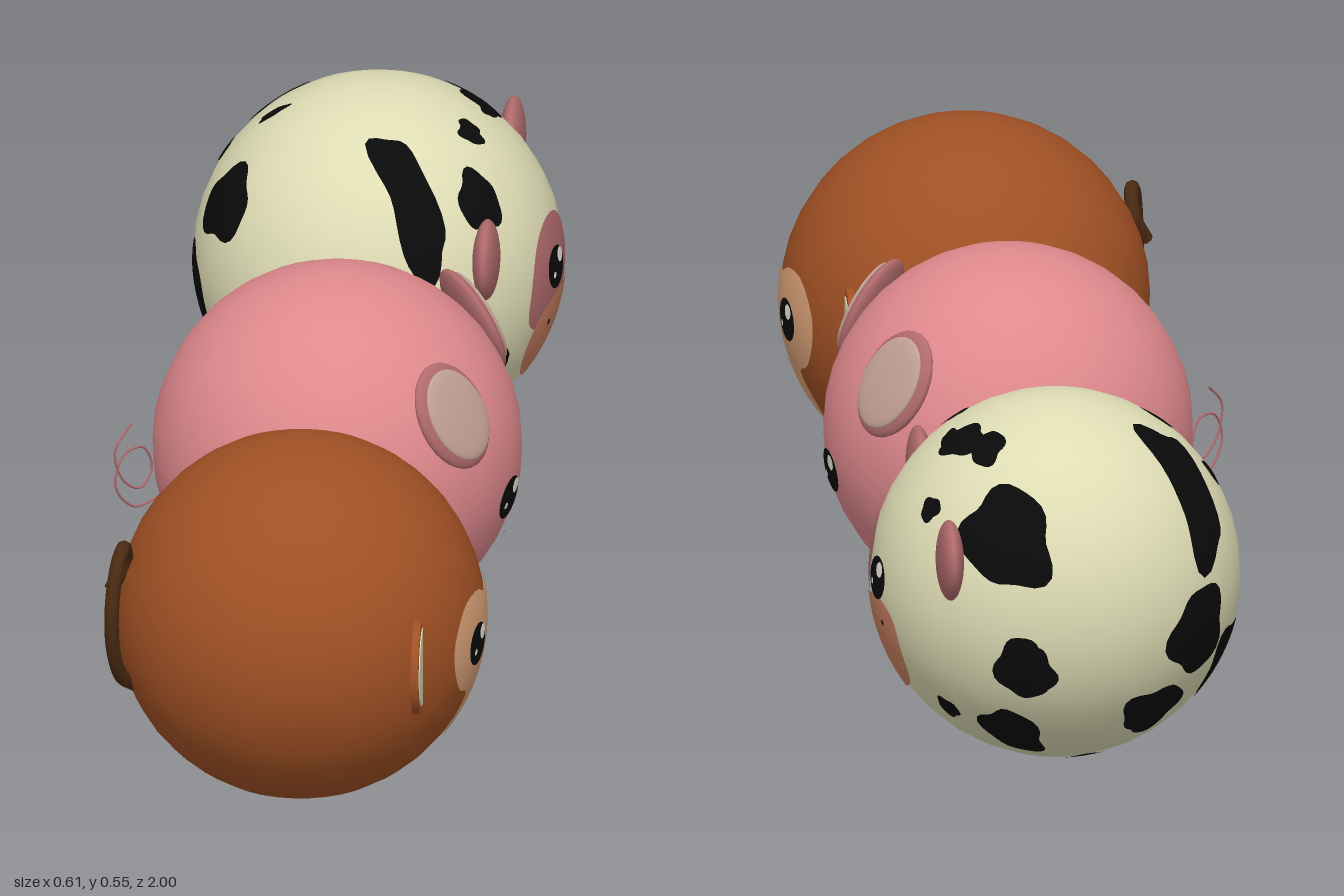
import * as THREE from 'three';

const R = 0.275;
const PX = 1 / 51.3; // face drawings use a grid of about 51 steps per ball radius

const colours = {
  brown: 0xa05024, darkBrown: 0x4a2a12, tan: 0xd8a076, cream: 0xdedcb4, black: 0x0a0a0a,
  pink: 0xdf898d, earPink: 0xc4a296, rose: 0xb06a6c, salmon: 0xcc8062, white: 0xf0f0e4,
};
const mat = {};

// Tangent frame on a ball, from an azimuth and an elevation in degrees
function frame(az, el) {
  const a = THREE.MathUtils.degToRad(az), e = THREE.MathUtils.degToRad(el);
  const dir = new THREE.Vector3(Math.sin(a) * Math.cos(e), Math.sin(e), Math.cos(a) * Math.cos(e));
  const right = new THREE.Vector3(Math.cos(a), 0, -Math.sin(a));
  return { dir, right, up: dir.clone().cross(right) };
}

function onBall(f, u, v) {
  const w = Math.sqrt(Math.max(0, 1 - u * u - v * v));
  return f.dir.clone().multiplyScalar(w).addScaledVector(f.right, u).addScaledVector(f.up, v).normalize();
}

// Thin painted patch: rings from a centre out to an outline, laid on the ball
function patch(parent, name, material, f, outline, cu, cv, lift) {
  const rings = 7, n = outline.length, pos = [], nor = [], idx = [];
  const add = (u, v) => {
    const d = onBall(f, u, v);
    nor.push(d.x, d.y, d.z);
    d.multiplyScalar(R + lift);
    pos.push(d.x, d.y, d.z);
  };
  add(cu, cv);
  for (let k = 1; k <= rings; k++) {
    for (const [u, v] of outline) add(cu + (u - cu) * k / rings, cv + (v - cv) * k / rings);
  }
  for (let i = 0; i < n; i++) {
    const j = (i + 1) % n;
    idx.push(0, 1 + i, 1 + j);
    for (let k = 0; k < rings - 1; k++) {
      const a = 1 + k * n + i, b = 1 + k * n + j;
      idx.push(a, a + n, b + n, a, b + n, b);
    }
  }
  const g = new THREE.BufferGeometry();
  g.setAttribute('position', new THREE.Float32BufferAttribute(pos, 3));
  g.setAttribute('normal', new THREE.Float32BufferAttribute(nor, 3));
  g.setIndex(idx);
  const m = new THREE.Mesh(g, material);
  m.name = name;
  parent.add(m);
}

const front = frame(90, 0);

// Smooth counter-clockwise face shape through a few grid points
function drawn(parent, name, material, pts, cx, cy, lift) {
  const curve = new THREE.CatmullRomCurve3(pts.map(([x, y]) => new THREE.Vector3(x * PX, y * PX, 0)), true);
  const outline = curve.getPoints(48).slice(0, -1).map(p => [p.x, p.y]);
  patch(parent, name, material, front, outline, cx * PX, cy * PX, lift);
}

function dot(parent, name, material, x, y, r, lift) {
  const outline = [];
  for (let i = 0; i < 20; i++) {
    const t = i / 20 * Math.PI * 2;
    outline.push([(x + r * Math.cos(t)) * PX, (y + r * Math.sin(t)) * PX]);
  }
  patch(parent, name, material, front, outline, x * PX, y * PX, lift);
}

function eye(parent, x, y) {
  dot(parent, 'eye', mat.black, x, y, 6, 0.005);
  dot(parent, 'eyeHighlight', mat.white, x + 2.3, y + 2.8, 2.1, 0.0065);
  dot(parent, 'eyeGlint', mat.white, x - 2.6, y - 1.5, 0.9, 0.0065);
}

// Irregular coat spot; pinch narrows its waist
function spot(parent, f, [u, v, rx, ry, pinch = 0], seed) {
  const dir = onBall(f, u, v);
  const right = f.right.clone().addScaledVector(dir, -f.right.dot(dir)).normalize();
  const local = { dir, right, up: dir.clone().cross(right) };
  const outline = [];
  for (let i = 0; i < 32; i++) {
    const t = i / 32 * Math.PI * 2, c = Math.cos(t);
    const k = 1 + 0.11 * Math.sin(3 * t + seed * 1.7) + 0.07 * Math.sin(5 * t + seed * 2.9);
    outline.push([rx * k * c * (1 - pinch * c * c), ry * k * Math.sin(t)]);
  }
  patch(parent, 'coatSpot', mat.black, local, outline, 0, 0, 0.0015);
}

function ball(name, material, z) {
  const g = new THREE.Group();
  g.name = name;
  g.position.set(0.025, R, z);
  const body = new THREE.Mesh(new THREE.SphereGeometry(R, 32, 20), material);
  body.name = 'body';
  g.add(body);
  return g;
}

function tube(parent, name, material, pts, radius, segments) {
  const curve = new THREE.CatmullRomCurve3(pts.map(p => new THREE.Vector3(...p)));
  const m = new THREE.Mesh(new THREE.TubeGeometry(curve, segments, radius, 8), material);
  m.name = name;
  parent.add(m);
}

function ellipsoid(parent, name, material, x, y, z) {
  const m = new THREE.Mesh(new THREE.SphereGeometry(1, 24, 16), material);
  m.name = name;
  m.scale.set(x, y, z);
  parent.add(m);
  return m;
}

// Empty ear holder whose local z points along the given normal
function earHolder(parent, pos, normal, roll) {
  const g = new THREE.Group();
  g.name = 'ear';
  g.position.set(...pos);
  g.lookAt(pos[0] + normal[0], pos[1] + normal[1], pos[2] + normal[2]);
  g.rotateZ(roll);
  parent.add(g);
  return g;
}

function halfDisc(r, depth) {
  const s = new THREE.Shape();
  s.absarc(0, 0, r, -Math.PI / 2, Math.PI / 2, false);
  s.closePath();
  return new THREE.ExtrudeGeometry(s, { depth, bevelEnabled: false, curveSegments: 20 });
}

function makeMonkey() {
  const g = ball('monkey', mat.brown, 0.725);
  const half = [[0, -33], [11, -31], [14.5, -25], [14, -16], [20, -13], [25, -5], [25, 3], [18, 11], [8, 12]];
  const mirrored = half.slice(1).reverse().map(([x, y]) => [-x, y]);
  drawn(g, 'face', mat.tan, [...half, [0, 9], ...mirrored], 0, -8, 0.0025);
  for (const x of [-12.5, 11]) eye(g, x, -2);
  for (const x of [-2, 2]) dot(g, 'nostril', mat.black, x, -16, 0.7, 0.005);
  // Half-round ears with a pale inside
  for (const s of [1, -1]) {
    const ear = new THREE.Group();
    ear.name = 'ear';
    ear.position.set(0.186, 0.005, s * 0.2);
    ear.rotation.set(0, Math.PI / 2, s > 0 ? Math.PI : 0);
    const shell = new THREE.Mesh(halfDisc(0.072, 0.011), mat.brown);
    shell.name = 'earShell';
    const inner = new THREE.Mesh(halfDisc(0.06, 0.002), mat.cream);
    inner.name = 'earInside';
    inner.position.z = 0.0105;
    ear.add(shell, inner);
    g.add(ear);
  }
  tube(g, 'tail', mat.darkBrown, [[-0.235, -0.095, 0.07], [-0.258, -0.06, 0.115], [-0.268, 0, 0.143],
    [-0.268, 0.07, 0.146], [-0.262, 0.12, 0.118], [-0.256, 0.132, 0.085], [-0.256, 0.1, 0.058],
    [-0.276, 0.058, 0.07]], 0.011, 50);
  return g;
}

function makePig() {
  const g = ball('pig', mat.pink, 0.055);
  for (const x of [-15, 10]) eye(g, x, -8);
  for (const x of [-8, -5.5]) dot(g, 'nostril', mat.black, x, -21, 0.6, 0.005);
  for (const s of [1, -1]) {
    const ear = earHolder(g, [0.186, 0.128, s * 0.19], [0.77, 0.36, s * 0.52], s * 0.4);
    ellipsoid(ear, 'earShell', mat.rose, 0.069, 0.086, 0.018);
    ellipsoid(ear, 'earInside', mat.earPink, 0.058, 0.074, 0.009).position.z = 0.0125;
  }
  // Thin curly tail lying in one slanted plane
  const curl = [[-0.235, 0.183], [-0.275, 0.181], [-0.3, 0.225], [-0.288, 0.268], [-0.262, 0.27], [-0.25, 0.232],
    [-0.265, 0.207], [-0.29, 0.23], [-0.3, 0.28], [-0.278, 0.315]];
  tube(g, 'tail', mat.rose, curl.map(([x, y]) => [x - 0.025, y - R, 0.012 - (x + 0.25) * 1.1]), 0.0018, 90);
  return g;
}

function makeCow() {
  const g = ball('cow', mat.cream, -0.69);
  const coat = [
    [frame(35.5, 25.6), [[-0.24, 0.22, 0.2, 0.42, 0.4], [0.15, 0.16, 0.13, 0.17], [-0.4, -0.53, 0.12, 0.24],
      [0.02, -0.79, 0.24, 0.28], [0.29, 0.55, 0.06, 0.07], [0.56, 0.69, 0.12, 0.15]]],
    [frame(215.5, 25.6), [[-0.76, 0.2, 0.24, 0.29], [0.32, 0.2, 0.27, 0.42, 0.4], [-0.73, -0.52, 0.15, 0.14],
      [0.19, -0.56, 0.22, 0.25], [0.03, -0.89, 0.14, 0.2], [0.56, -0.7, 0.22, 0.26], [0.93, -0.25, 0.15, 0.22]]],
    [frame(0, 90), [[-0.8, -0.41, 0.22, 0.21], [-0.83, 0.06, 0.08, 0.06], [-0.56, -0.06, 0.1, 0.04],
      [0.41, 0.39, 0.1, 0.13], [0.72, 0.47, 0.07, 0.07], [0.58, 0.12, 0.06, 0.08], [0.52, -0.25, 0.08, 0.07]]],
    [frame(139, -31), [[0.4, 0.22, 0.14, 0.19], [0.2, -0.26, 0.16, 0.23], [-0.14, -0.1, 0.07, 0.08],
      [0.78, -0.41, 0.18, 0.2], [0.26, -0.76, 0.16, 0.13]]],
    [frame(-40, -15), [[0.15, 0.1, 0.2, 0.25], [0.4, -0.5, 0.16, 0.18], [-0.2, -0.45, 0.12, 0.12]]],
  ];
  let seed = 1;
  for (const [f, list] of coat) for (const s of list) spot(g, f, s, seed++);
  drawn(g, 'eyePatch', mat.rose, [[-26, -8], [-22, -12], [-12, -13], [-2, -4], [2, 3], [2, 11], [-3, 16],
    [-12, 17], [-20, 13], [-25, 4]], -12, 2, 0.0025);
  drawn(g, 'muzzle', mat.salmon, [[-23, -19], [-17, -27], [-6, -30], [8, -29], [18, -24], [21, -14], [20, -6],
    [12, -2], [0, -4], [-14, -5], [-22, -10]], 0, -16, 0.0038);
  for (const x of [-12, 11]) eye(g, x, 3);
  dot(g, 'nostril', mat.black, -15, -12, 0.8, 0.0055);
  dot(g, 'nostril', mat.black, 14, -9, 0.8, 0.0055);
  for (const s of [1, -1]) {
    const ear = earHolder(g, [0.18, 0.093, s * 0.235], [1, 0, 0], -s * 0.25);
    ellipsoid(ear, 'earShell', mat.rose, 0.078, 0.06, 0.02);
  }
  return g;
}

export function createModel() {
  for (const [name, color] of Object.entries(colours)) {
    mat[name] = new THREE.MeshStandardMaterial({ color });
    mat[name].name = name;
  }
  const model = new THREE.Group();
  model.name = 'animalBalls';
  model.add(makeMonkey(), makePig(), makeCow());
  return model;
}
